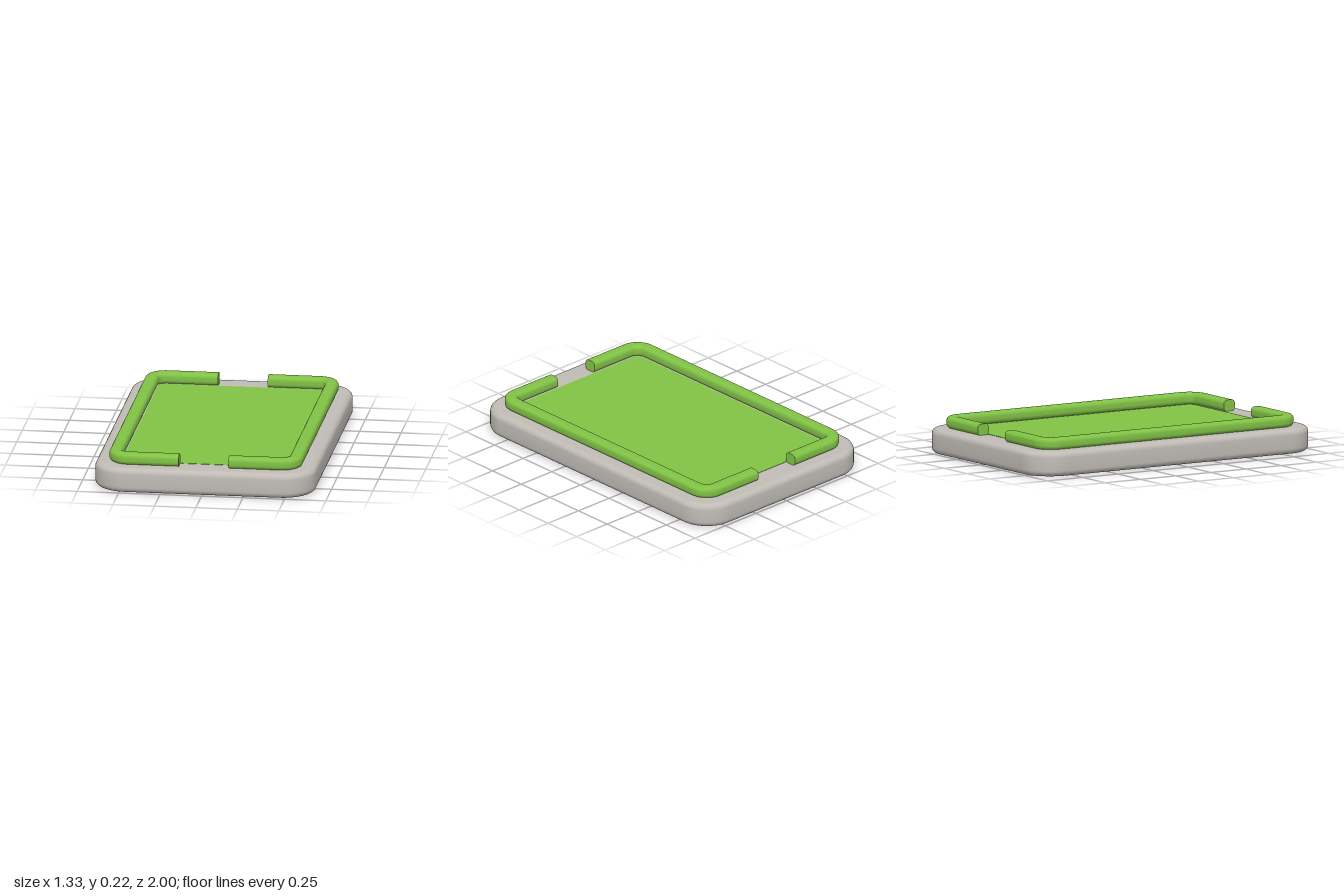
import * as THREE from 'three';
import { toCreasedNormals } from 'three/addons/utils/BufferGeometryUtils.js';

// Rounded rectangle outline from half sizes and corner radius
function roundedRect(w, h, r) {
  const s = new THREE.Shape();
  s.absarc(w - r, h - r, r, 0, Math.PI / 2);
  s.absarc(-w + r, h - r, r, Math.PI / 2, Math.PI);
  s.absarc(-w + r, -h + r, r, Math.PI, Math.PI * 1.5);
  s.absarc(w - r, -h + r, r, Math.PI * 1.5, Math.PI * 2);
  s.closePath();
  return s;
}

// Slab lying flat with its underside at y = 0 and softly rounded edges
function slab(w, h, r, height, bevel) {
  const geo = new THREE.ExtrudeGeometry(roundedRect(w - bevel, h - bevel, r - bevel), {
    depth: height - 2 * bevel, curveSegments: 12,
    bevelEnabled: bevel > 0, bevelSize: bevel, bevelThickness: bevel, bevelSegments: 6,
  });
  geo.translate(0, 0, bevel);
  geo.rotateX(-Math.PI / 2);
  return toCreasedNormals(geo, 0.6);
}

// C-shaped rim: a rounded profile swept around two corners
function rimGeometry(w, h, r, gap, width, height, edge) {
  const path = [{ x: gap, z: h, nx: 0, nz: 1 }];
  const steps = 12;
  for (const [cz, start] of [[h - r, Math.PI / 2], [-h + r, 0]]) {
    for (let i = 0; i <= steps; i++) {
      const a = start - (i / steps) * Math.PI / 2;
      const nx = Math.cos(a), nz = Math.sin(a);
      path.push({ x: w - r + r * nx, z: cz + r * nz, nx, nz });
    }
  }
  path.push({ x: gap, z: -h, nx: 0, nz: -1 });

  const profile = roundedRect(width / 2, height / 2, edge).getPoints(6);
  if (profile[0].distanceTo(profile[profile.length - 1]) < 1e-6) profile.pop();
  const n = profile.length, pos = [], index = [];
  for (const p of path) {
    for (const q of profile) pos.push(p.x + p.nx * q.x, q.y + height / 2, p.z + p.nz * q.x);
  }
  for (let i = 0; i < path.length - 1; i++) {
    for (let j = 0; j < n; j++) {
      const a = i * n + j, b = i * n + (j + 1) % n, c = a + n, d = b + n;
      index.push(a, c, b, b, c, d);
    }
  }
  // Flat cut ends
  const last = (path.length - 1) * n;
  for (let j = 1; j < n - 1; j++) {
    index.push(0, j, j + 1, last, last + j + 1, last + j);
  }
  const geo = new THREE.BufferGeometry();
  geo.setAttribute('position', new THREE.Float32BufferAttribute(pos, 3));
  geo.setIndex(index);
  return toCreasedNormals(geo.toNonIndexed(), 0.6);
}

export function createModel() {
  const model = new THREE.Group();
  model.name = 'tray';
  const grey = new THREE.MeshStandardMaterial({ name: 'warm grey', color: 0xc0bbb5 });
  const green = new THREE.MeshStandardMaterial({ name: 'leaf green', color: 0x80c245 });
  const add = (name, geo, mat, y) => {
    const mesh = new THREE.Mesh(geo, mat);
    mesh.name = name;
    mesh.position.y = y;
    model.add(mesh);
    return mesh;
  };

  add('base', slab(0.665, 1, 0.2, 0.15, 0.035), grey, 0);

  // Thin coloured panel inside the rim
  add('panel', slab(0.505, 0.835, 0.045, 0.003, 0), green, 0.149);

  // Two rim halves, leaving a gap at the front and back
  const rim = rimGeometry(0.5425, 0.875, 0.085, 0.15, 0.08, 0.07, 0.025);
  add('leftRim', rim, green, 0.149);
  add('rightRim', rim, green, 0.149).rotation.y = Math.PI;

  return model;
}
